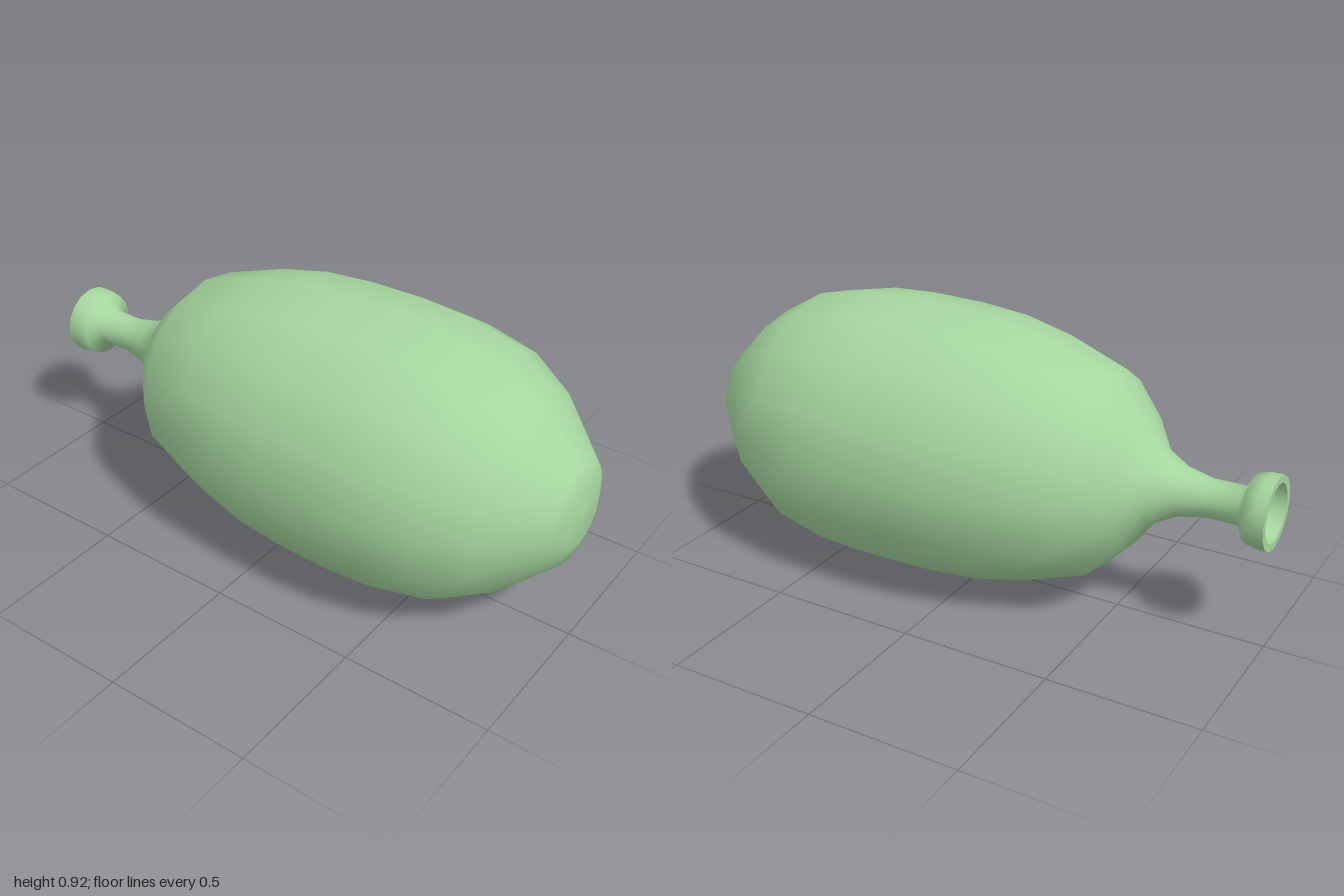
import * as THREE from 'three';

const CENTRE_Y = 0.462;
const SIDES = 16;

// Profiles are [radius, z] pairs, spun around the bottle's long axis.
const innerWall = [
  [0, 0.95], [0.13, 0.93], [0.29, 0.77], [0.38, 0.63], [0.42, 0.28],
  [0.40, -0.07], [0.30, -0.42], [0.19, -0.53], [0.09, -0.62], [0.045, -0.71],
  [0.045, -0.90], [0.085, -0.935], [0.095, -1],
];
const outerWall = [
  [0.119, -1], [0.118, -0.965], [0.11, -0.926], [0.062, -0.9], [0.061, -0.79],
  [0.08, -0.7], [0.123, -0.62], [0.22, -0.552], [0.333, -0.44], [0.405, -0.23],
  [0.443, -0.06], [0.458, 0.11], [0.462, 0.3], [0.454, 0.46], [0.416, 0.65],
  [0.33, 0.8], [0.168, 0.97], [0.1, 0.994], [0, 1],
];

export function createModel() {
  const group = new THREE.Group();
  group.name = 'bottle';
  const glass = new THREE.MeshStandardMaterial({ color: 0xa6d69f });
  glass.name = 'green glass';

  // Lathe a profile and lay it down with the base facing forward
  const spin = (name, profile) => {
    const points = profile.map(([r, z]) => new THREE.Vector2(r, z));
    const geometry = new THREE.LatheGeometry(points, SIDES);
    geometry.rotateX(Math.PI / 2);
    const mesh = new THREE.Mesh(geometry, glass);
    mesh.name = name;
    mesh.position.y = CENTRE_Y;
    group.add(mesh);
  };

  spin('bottleInside', innerWall);
  spin('mouthRim', [innerWall[innerWall.length - 1], outerWall[0]]);
  spin('bottleBody', outerWall);
  return group;
}
